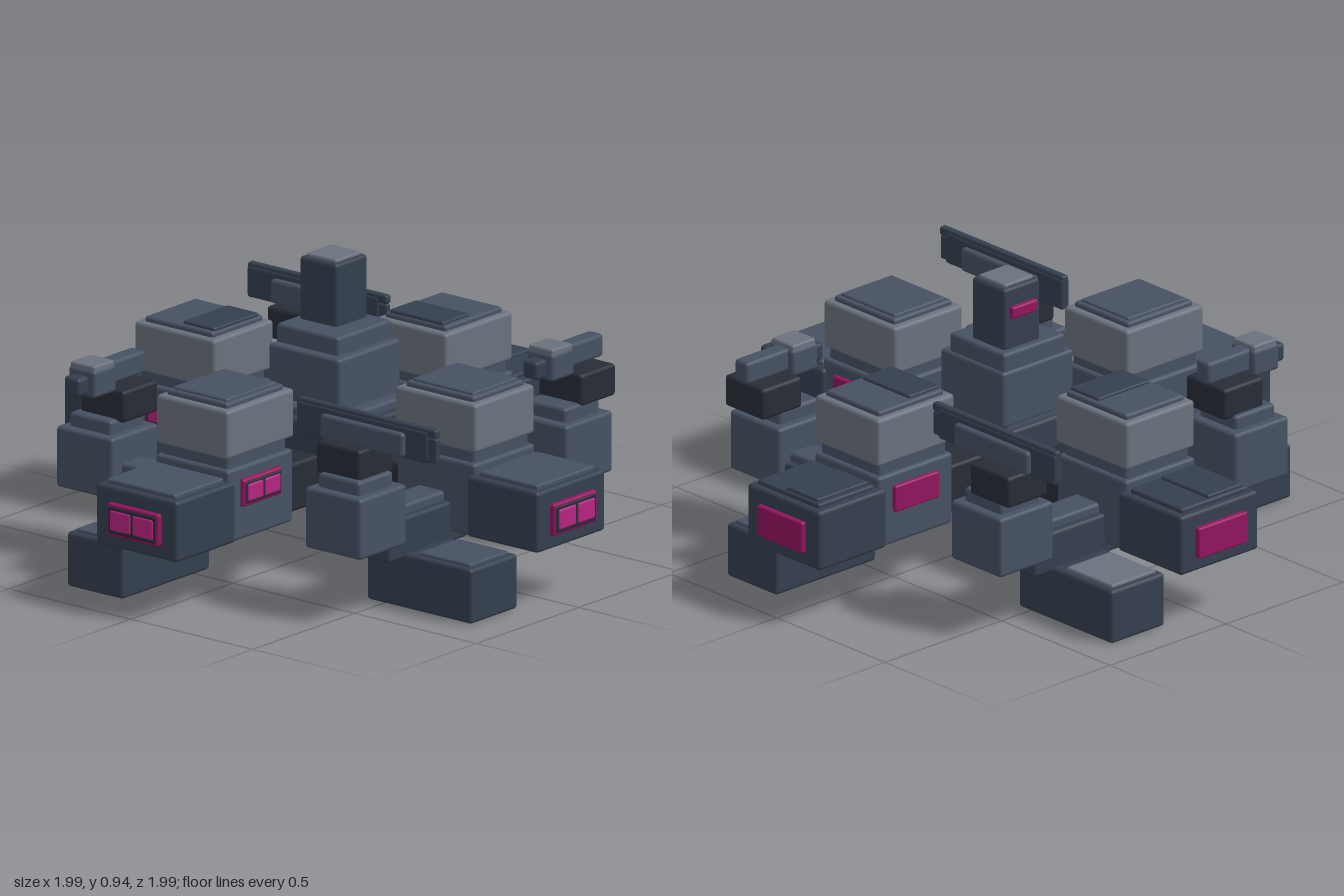
import * as THREE from 'three';
import { RoundedBoxGeometry } from 'three/addons/geometries/RoundedBoxGeometry.js';

const mat = (color) => new THREE.MeshStandardMaterial({ color });
const M = {
  black: mat(0x272c36),
  dark: mat(0x343f4e),
  mid: mat(0x465162),
  light: mat(0x6a727e),
  glow: mat(0xb8257f),
  deepGlow: mat(0x94145f),
};

// Box with softened edges, given by its extents on each axis
function box(parent, name, material, [x0, x1], [y0, y1], [z0, z1]) {
  const w = x1 - x0, h = y1 - y0, d = z1 - z0;
  const r = Math.min(0.012, 0.3 * Math.min(w, h, d));
  const mesh = new THREE.Mesh(new RoundedBoxGeometry(w, h, d, 2, r), material);
  mesh.position.set((x0 + x1) / 2, (y0 + y1) / 2, (z0 + z1) / 2);
  mesh.name = name;
  parent.add(mesh);
  return mesh;
}

// Window facing +z, centred on its own origin: framed twin panes or one plain panel
function makeWindow(name, w, h, paned) {
  const g = new THREE.Group();
  g.name = name;
  box(g, 'windowPanel', M.deepGlow, [-w / 2, w / 2], [-h / 2, h / 2], [-0.01, 0.014]);
  if (paned) {
    const bw = w / 2 - 0.008, bh = h / 2 - 0.008;
    box(g, 'windowFrame', M.black, [-bw, bw], [-bh, bh], [0, 0.018]);
    for (const s of [-1, 1]) {
      const c = s * w * 0.22;
      box(g, 'windowPane', M.glow, [c - w * 0.2, c + w * 0.2], [-h * 0.32, h * 0.32], [0, 0.022]);
    }
  }
  return g;
}

// One wing of the base, reaching out along +z
function makeWing(index) {
  const g = new THREE.Group();
  g.name = 'wing';
  const front = index < 2; // wings facing +z and +x
  box(g, 'corridor', M.black, [-0.088, 0.088], [0.2, 0.36], [0.1, 0.5]);

  // Main hall and its pale roof block
  box(g, 'hall', M.mid, [-0.15, 0.15], [0.2, 0.44], [0.38, 0.7]);
  box(g, 'hallShoulder', M.mid, [-0.135, 0.135], [0.43, 0.485], [0.395, 0.685]);
  box(g, 'roofBlock', M.light, [-0.147, 0.147], [0.475, 0.635], [0.37, 0.7]);
  box(g, 'roofPlate', M.mid, [-0.125, 0.125], [0.62, 0.652], [0.395, 0.675]);
  if (!front) box(g, 'roofHatch', M.dark, [-0.11, 0.11], [0.64, 0.662], [0.4, 0.53]);
  else box(g, 'roofHatch', M.mid, [-0.11, 0.11], [0.64, 0.66], [0.41, 0.66]);

  // Outer end block
  box(g, 'endBlock', M.dark, [-0.167, 0.167], [0.205, 0.405], [0.68, 0.972]);
  box(g, 'endPlate', front ? M.mid : M.dark, [-0.142, 0.142], [0.395, 0.42], [0.71, 0.95]);
  if (!front) box(g, 'endHatch', M.dark, [-0.02, 0.125], [0.41, 0.43], [0.72, 0.94]);
  const endWindow = makeWindow('endWindow', 0.21, 0.105, front);
  endWindow.position.set(0, 0.303, 0.976);
  g.add(endWindow);

  // Window on the side of the hall; panes where it faces the front or left
  const sideWindow = makeWindow('sideWindow', 0.19, 0.09, index === 0 || index === 3);
  sideWindow.position.set(0.15, 0.355, 0.545);
  sideWindow.rotation.y = Math.PI / 2;
  g.add(sideWindow);

  // Low foot block beside the wing
  box(g, 'foot', M.dark, [-0.37, -0.14], [0, 0.18], [0.44, 0.87]);
  box(g, 'footPlate', index === 3 ? M.light : M.mid, [-0.35, -0.16], [0.17, 0.19], [0.64, 0.85]);

  // Strut leading to the corner pod
  box(g, 'strut', M.dark, [-0.45, -0.06], [0.165, 0.3], [0.44, 0.6]);
  box(g, 'strutCap', M.mid, [-0.42, -0.14], [0.285, 0.33], [0.465, 0.575]);

  // Corner pod and turret base
  box(g, 'pod', M.mid, [-0.62, -0.39], [0.22, 0.42], [0.395, 0.625]);
  box(g, 'podPlate', M.mid, [-0.59, -0.42], [0.41, 0.465], [0.425, 0.595]);
  return g;
}

// Wide turret: long rail on a shorter body
function makeRailTurret() {
  const g = new THREE.Group();
  g.name = 'railTurret';
  box(g, 'turretBase', M.black, [-0.12, 0.06], [0.455, 0.56], [-0.1, 0.07]);
  box(g, 'turretBody', M.mid, [-0.14, 0.2], [0.555, 0.635], [-0.04, 0.03]);
  box(g, 'rail', M.dark, [-0.25, 0.29], [0.55, 0.655], [-0.022, 0.012]);
  box(g, 'railTop', M.dark, [-0.25, 0.32], [0.635, 0.665], [-0.018, 0.008]);
  box(g, 'railLower', M.dark, [-0.25, 0.32], [0.555, 0.635], [-0.014, 0.006]);
  return g;
}

// Compact turret: barrel to the rear, pale capped breech
function makeBarrelTurret() {
  const g = new THREE.Group();
  g.name = 'barrelTurret';
  box(g, 'turretBase', M.black, [-0.08, 0.1], [0.455, 0.56], [-0.11, 0.06]);
  box(g, 'barrel', M.mid, [-0.027, 0.033], [0.565, 0.64], [-0.13, 0.06]);
  box(g, 'breech', M.mid, [-0.05, 0.06], [0.55, 0.64], [0.045, 0.155]);
  box(g, 'breechCap', M.light, [-0.045, 0.055], [0.63, 0.655], [0.05, 0.15]);
  box(g, 'breechTip', M.dark, [-0.027, 0.033], [0.56, 0.62], [0.14, 0.2]);
  return g;
}

export function createModel() {
  const model = new THREE.Group();
  model.name = 'base';
  const core = new THREE.Group();
  core.name = 'complex';
  core.position.set(-0.01, 0, -0.01);
  model.add(core);

  // Four wings turned about the centre
  for (let i = 0; i < 4; i++) {
    const wing = makeWing(i);
    wing.rotation.y = (i * Math.PI) / 2;
    core.add(wing);
  }

  // Central block and stepped tower
  box(core, 'centralBlock', M.dark, [-0.19, 0.19], [0.2, 0.46], [-0.19, 0.19]);
  box(core, 'centralPlate', M.mid, [-0.175, 0.16], [0.45, 0.49], [-0.175, 0.16]);
  box(core, 'towerBase', M.mid, [-0.177, 0.115], [0.47, 0.66], [-0.19, 0.115]);
  box(core, 'towerStep', M.mid, [-0.17, 0.085], [0.64, 0.72], [-0.18, 0.085]);
  box(core, 'tower', M.dark, [-0.145, 0.008], [0.7, 0.925], [-0.155, 0.0]);
  box(core, 'towerCap', M.light, [-0.13, -0.007], [0.91, 0.935], [-0.14, -0.015]);
  const towerWindow = makeWindow('towerWindow', 0.11, 0.04, false);
  towerWindow.position.set(-0.147, 0.843, -0.078);
  towerWindow.rotation.y = -Math.PI / 2;
  core.add(towerWindow);

  // Turrets on the corner pods
  for (const s of [-1, 1]) {
    const rail = makeRailTurret();
    rail.position.set(s * 0.55 - 0.03 * s, 0, s * 0.5);
    core.add(rail);
    const barrel = makeBarrelTurret();
    barrel.position.set(s * 0.495, 0, -s * 0.55 + 0.03 * s - 0.02 * (s < 0 ? 1 : 2));
    core.add(barrel);
  }
  return model;
}
